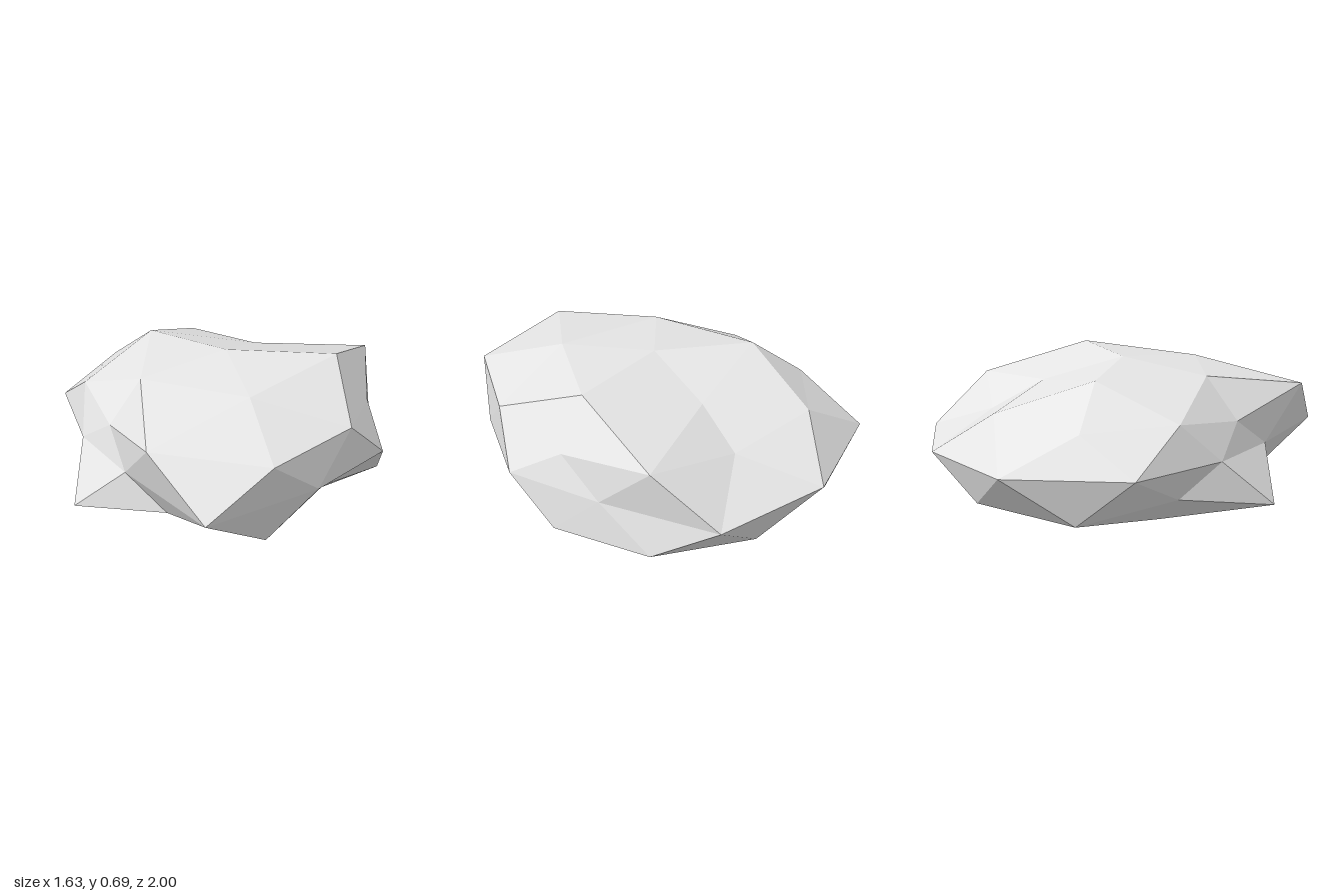
import * as THREE from 'three';

// Low-poly boulder: an icosphere-like cage of rings whose corners are pushed in or out.
const CENTER = new THREE.Vector3(0.045, 0.305, -0.04);
const FLATTEN = 0.449;

// Corner at a horizontal angle and distance; slope is the tangent of its latitude.
function corner(degrees, distance, slope) {
  const a = THREE.MathUtils.degToRad(degrees);
  return new THREE.Vector3(
    CENTER.x + Math.cos(a) * distance,
    Math.max(0, CENTER.y + distance * slope * FLATTEN),
    CENTER.z + Math.sin(a) * distance
  );
}

// Ten corners shared by both halves
const EQUATOR = [0.808, 0.805, 1.04, 0.706, 0.709, 0.904, 1.003, 0.96, 0.99, 0.746]
  .map((d, j) => corner(18 + 36 * j, d, 0));

// One half of the rock, from its pole out to the equator
function addHalf(positions, { up, turn, poleY, inner, outer, between }) {
  const ring = (distances, shift, slope) =>
    distances.map((d, k) => corner(turn + shift + 72 * k, d, up * slope));
  const pole = new THREE.Vector3(CENTER.x, poleY, CENTER.z);
  const A = ring(inner, 0, 1.618);
  const B = ring(outer, 0, 0.5);
  const C = ring(between, 36, 0.618);
  const E = (j) => EQUATOR[(j + turn / 36 + 10) % 10];

  for (let k = 0; k < 5; k++) {
    const n = (k + 1) % 5;
    const faces = [
      [pole, A[k], A[n]],
      [A[k], C[k], A[n]],
      [A[k], B[k], C[k]],
      [A[n], C[k], B[n]],
      [B[k], E(2 * k - 1), E(2 * k)],
      [B[k], E(2 * k), C[k]],
      [C[k], E(2 * k), E(2 * k + 1)],
      [C[k], E(2 * k + 1), B[n]],
    ];
    for (const [p, q, r] of faces) {
      const order = up > 0 ? [p, r, q] : [p, q, r];
      for (const v of order) positions.push(v.x, v.y, v.z);
    }
  }
}

export function createModel() {
  const positions = [];
  // Top half
  addHalf(positions, {
    up: 1, turn: 0, poleY: 0.695,
    inner: [0.533, 0.475, 0.467, 0.497, 0.387],
    outer: [0.69, 0.905, 0.634, 0.758, 0.637],
    between: [0.755, 0.886, 0.695, 0.76, 0.846],
  });
  // Underside
  addHalf(positions, {
    up: -1, turn: 36, poleY: 0,
    inner: [0.402, 0.365, 0.467, 0.36, 0.391],
    outer: [0.611, 0.69, 0.685, 0.862, 0.85],
    between: [0.789, 0.836, 0.83, 0.81, 0.757],
  });

  const geometry = new THREE.BufferGeometry();
  geometry.setAttribute('position', new THREE.Float32BufferAttribute(positions, 3));
  geometry.computeVertexNormals(); // unshared corners give flat facets

  const stone = new THREE.MeshStandardMaterial({ color: 0xe6e6e6 });
  stone.name = 'pale stone';
  stone.flatShading = true;

  const rock = new THREE.Mesh(geometry, stone);
  rock.name = 'rock';
  const group = new THREE.Group();
  group.name = 'boulder';
  group.add(rock);
  return group;
}
